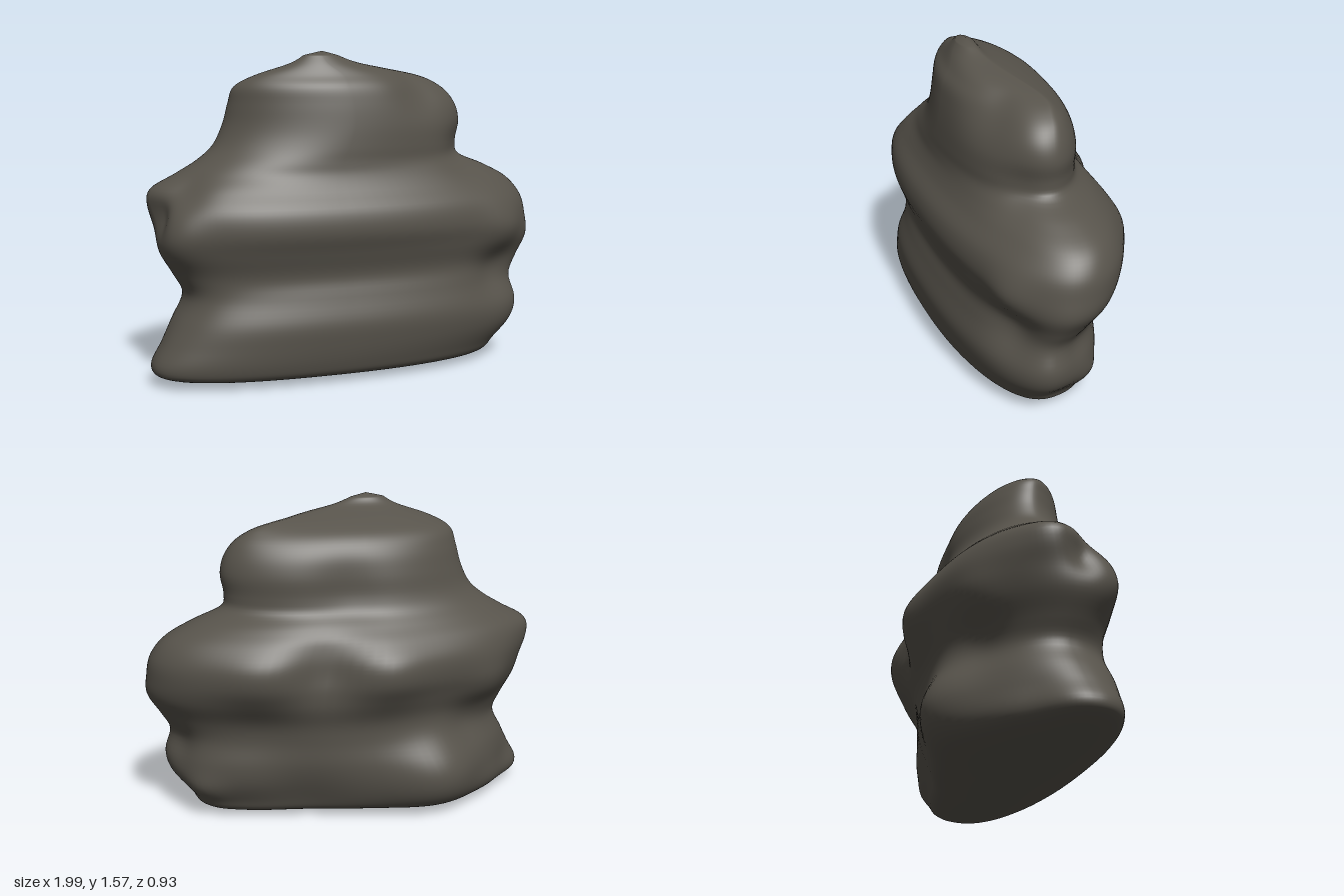
import * as THREE from 'three';

// Horizontal sections: y, left x, right x, back z, front z, z of the left end, z of the right end
const SECTIONS = [
  [0.00, -0.30, 0.30, -0.08, 0.16, 0.06, 0.06],
  [0.02, -0.78, 0.66, -0.20, 0.31, 0.10, 0.08],
  [0.045, -0.96, 0.75, -0.27, 0.39, 0.13, 0.10],
  [0.10, -1.00, 0.79, -0.31, 0.42, 0.13, 0.12],
  [0.20, -0.95, 0.88, -0.34, 0.44, 0.12, 0.13],
  [0.30, -0.90, 0.91, -0.35, 0.445, 0.11, 0.13],
  [0.42, -0.84, 0.89, -0.34, 0.415, 0.10, 0.12],
  [0.52, -0.88, 0.93, -0.35, 0.395, 0.10, 0.10],
  [0.63, -0.94, 0.99, -0.40, 0.425, 0.10, 0.07],
  [0.73, -0.96, 0.99, -0.44, 0.457, 0.08, 0.04],
  [0.83, -0.97, 0.97, -0.44, 0.445, 0.05, 0.02],
  [0.92, -0.95, 0.90, -0.39, 0.39, 0.03, 0.00],
  [0.99, -0.84, 0.77, -0.33, 0.36, 0.02, 0.00],
  [1.05, -0.74, 0.63, -0.28, 0.35, 0.02, 0.04],
  [1.12, -0.66, 0.61, -0.26, 0.345, 0.02, 0.04],
  [1.22, -0.61, 0.62, -0.25, 0.335, 0.02, 0.03],
  [1.32, -0.585, 0.59, -0.22, 0.32, 0.03, 0.02],
  [1.40, -0.56, 0.52, -0.16, 0.30, 0.05, 0.00],
  [1.455, -0.47, 0.39, -0.06, 0.26, 0.10, -0.01],
  [1.51, -0.31, 0.06, 0.07, 0.22, 0.14, 0.10],
  [1.55, -0.24, -0.07, 0.11, 0.19, 0.15, 0.14],
];

// Lumps and hollows: x, y, z, radius, outward push
const LUMPS = [
  [-0.97, 0.80, 0.14, 0.09, -0.05],
  [-0.95, 0.88, -0.02, 0.10, 0.02],
  [-0.88, 0.95, 0.22, 0.12, -0.05],
  [-0.88, 0.70, 0.28, 0.12, 0.03],
  [-0.85, 0.35, 0.20, 0.15, -0.02],
  [0.74, 0.47, 0.26, 0.15, -0.05],
  [0.74, 0.68, 0.28, 0.13, 0.04],
  [0.86, 0.36, -0.01, 0.11, -0.03],
  [0.77, 0.09, -0.13, 0.12, 0.08],
  [-0.40, 0.20, -0.32, 0.24, 0.12],
  [-0.85, 0.10, -0.05, 0.14, -0.03],
  [0.30, 0.12, -0.32, 0.24, -0.05],
  [0.50, 0.45, -0.28, 0.22, -0.03],
  [-0.66, 0.63, -0.27, 0.15, 0.04],
  [-0.60, 0.46, -0.30, 0.14, -0.04],
  [-0.13, 0.76, -0.45, 0.16, 0.03],
  [0.20, 0.80, -0.45, 0.17, -0.08],
  [0.52, 0.76, -0.36, 0.16, 0.02],
  [0.05, 1.15, -0.26, 0.18, -0.03],
  [0.36, 1.42, 0.20, 0.16, -0.06],
  [0.60, 1.08, 0.18, 0.14, -0.03],
];

// Smooth interpolation between neighbouring sections
function sectionAt(t) {
  const last = SECTIONS.length - 1;
  const i = Math.min(Math.floor(t), last - 1), f = t - i;
  const row = (k) => SECTIONS[THREE.MathUtils.clamp(k, 0, last)];
  return row(i).map((b, k) => {
    const a = row(i - 1)[k], c = row(i + 1)[k], d = row(i + 2)[k];
    return b + 0.5 * f * (c - a + f * (2 * a - 5 * b + 4 * c - d + f * (3 * (b - c) + d - a)));
  });
}

// Rounded outline, squarest at the lower front left
function outlinePoint([y, left, right, back, front, leftZ, rightZ], angle) {
  const c = Math.cos(angle), s = Math.sin(angle);
  const middle = left + (right - left) * 0.46;
  const frontLeft = 2.5 - 0.75 * THREE.MathUtils.smoothstep(y, 0.8, 1.2);
  const roundness = s > 0 ? (c > 0 ? 2.1 : frontLeft) : (c > 0 ? 2.0 : 1.9);
  const power = 2 / roundness;
  const u = Math.sign(c) * Math.abs(c) ** power;
  const x = middle + u * (c > 0 ? right - middle : middle - left);
  const endZ = THREE.MathUtils.lerp(leftZ, rightZ, (u + 1) / 2);
  const z = endZ + Math.abs(s) ** power * ((s > 0 ? front : back) - endZ);
  const p = new THREE.Vector3(x, y, z);
  const out = new THREE.Vector3(c * 0.6, 0, s).normalize();
  let push = 0;
  for (const [lx, ly, lz, r, amount] of LUMPS) {
    const d2 = (x - lx) ** 2 + (y - ly) ** 2 + (z - lz) ** 2;
    push += amount * Math.exp(-d2 / (r * r));
  }
  return p.addScaledVector(out, push);
}

function rockGeometry(around = 128, steps = 5) {
  const rings = (SECTIONS.length - 1) * steps;
  const positions = [], index = [];
  for (let j = 0; j <= rings; j++) {
    const section = sectionAt(j / steps);
    for (let i = 0; i < around; i++) {
      positions.push(...outlinePoint(section, (i / around) * Math.PI * 2).toArray());
    }
  }
  for (let j = 0; j < rings; j++) {
    for (let i = 0; i < around; i++) {
      const a = j * around + i, b = j * around + (i + 1) % around;
      index.push(a, a + around, b, b, a + around, b + around);
    }
  }
  // Close the underside and the peak
  const bottom = positions.length / 3, top = bottom + 1, lastRing = rings * around;
  positions.push(0, 0, 0.04, -0.15, 1.57, 0.15);
  for (let i = 0; i < around; i++) {
    const n = (i + 1) % around;
    index.push(bottom, i, n, top, lastRing + n, lastRing + i);
  }
  const geometry = new THREE.BufferGeometry();
  geometry.setAttribute('position', new THREE.Float32BufferAttribute(positions, 3));
  geometry.setIndex(index);
  geometry.computeVertexNormals();
  return geometry;
}

export function createModel() {
  const stone = new THREE.MeshStandardMaterial({ color: 0x57534b });
  stone.name = 'dark stone';
  const rock = new THREE.Mesh(rockGeometry(), stone);
  rock.name = 'rock';
  const model = new THREE.Group();
  model.name = 'boulder';
  model.add(rock);
  return model;
}
